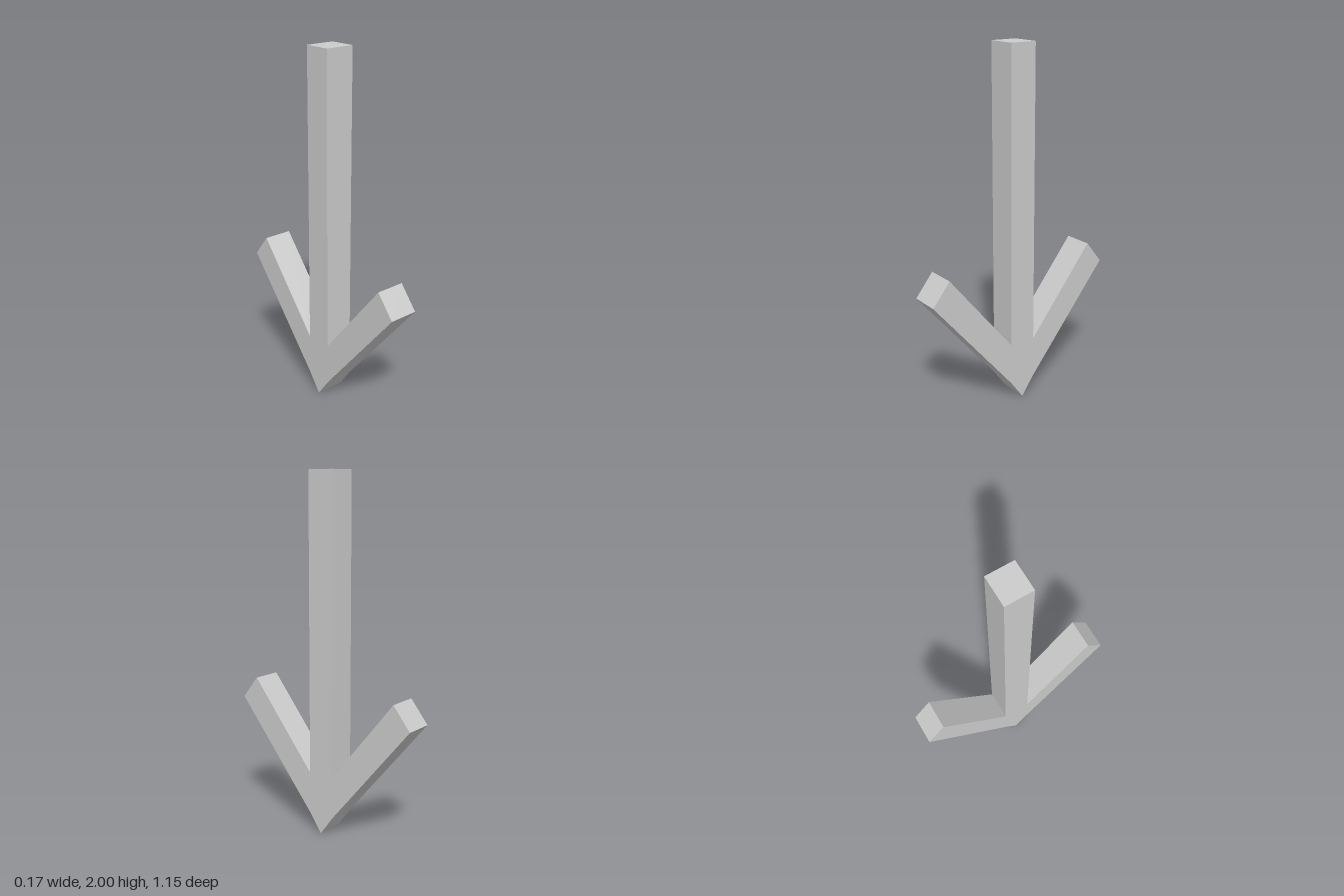
import * as THREE from 'three';

export function createModel() {
  const group = new THREE.Group();
  const width = 0.168;

  // Half outline of the arrow, from the tip up the barb to the shaft top
  const half = [
    [0.078, 0.108], // slight bend where the tip meets the barb
    [0.575, 0.705], // barb end, lower corner
    [0.473, 0.832], // barb end, upper corner
    [0.077, 0.345], // barb joins the shaft
    [0.077, 2],     // shaft top
  ];
  const mirrored = half.map(([a, y]) => [-a, y]).reverse();
  const outline = [[0, 0], ...half, ...mirrored];
  const shape = new THREE.Shape(outline.map(([a, y]) => new THREE.Vector2(a, y)));

  // Extrude to the arrow's thickness and turn it into the side plane
  const geometry = new THREE.ExtrudeGeometry(shape, { depth: width, bevelEnabled: false });
  geometry.translate(0, 0, -width / 2);
  geometry.rotateY(Math.PI / 2);

  const arrow = new THREE.Mesh(
    geometry,
    new THREE.MeshStandardMaterial({ color: 0xcccccc, flatShading: true })
  );
  arrow.name = 'downArrow';
  group.add(arrow);
  group.name = 'arrow';
  return group;
}
